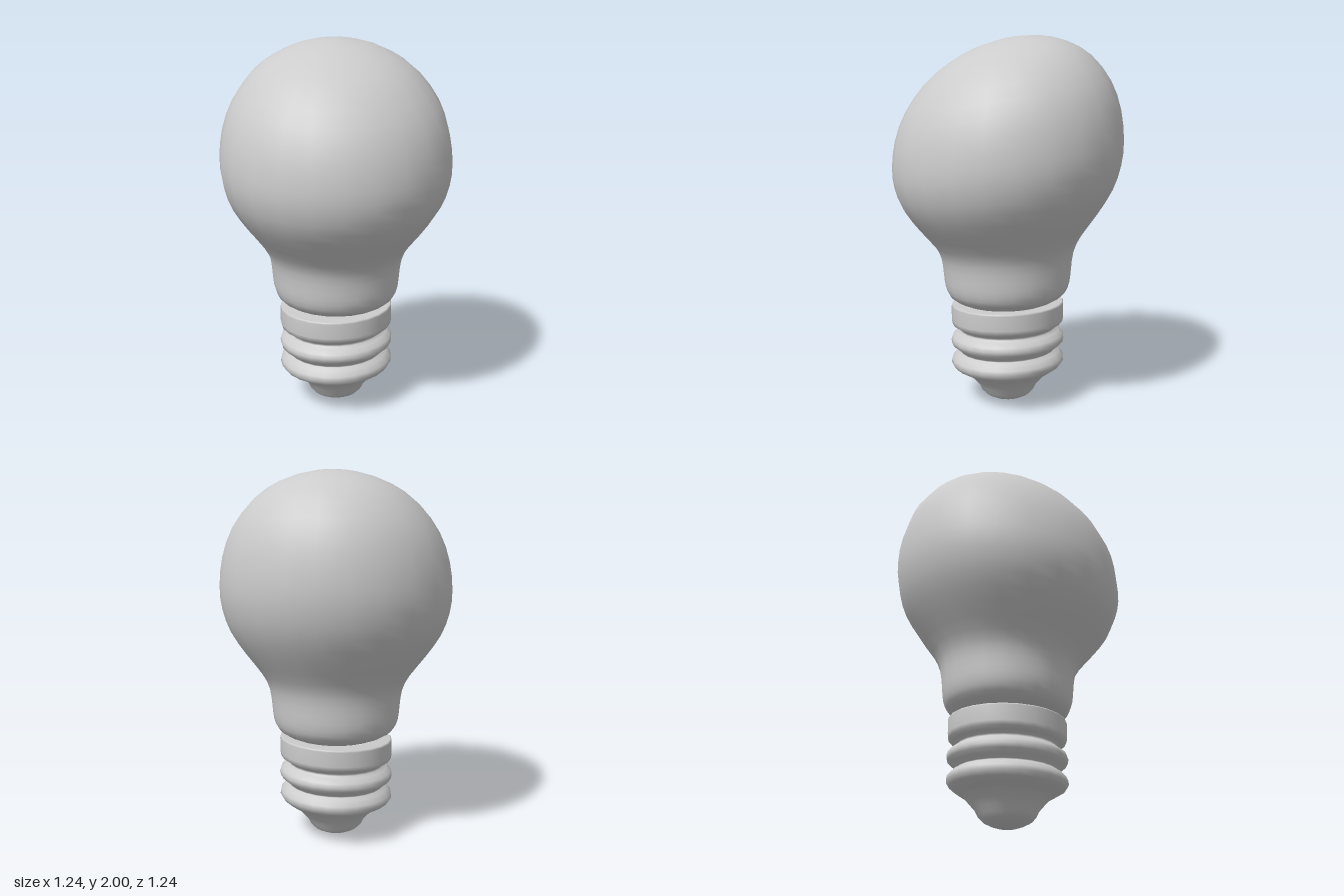
import * as THREE from 'three';
import { mergeVertices } from 'three/addons/utils/BufferGeometryUtils.js';

const SIDES = 24;
const material = new THREE.MeshStandardMaterial({ color: 0xcccccc });

// Lathe a profile of [radius, height] pairs (bottom to top), then slant it by a rule.
function turned(name, profile, slant, samples = 0) {
  let points = profile.map(([r, y]) => new THREE.Vector2(r, y));
  if (samples) points = new THREE.SplineCurve(points).getPoints(samples);
  points.forEach((p) => { p.x = Math.max(p.x, 0); });
  const lathe = new THREE.LatheGeometry(points, SIDES);
  lathe.deleteAttribute('uv');
  lathe.deleteAttribute('normal');
  const geometry = mergeVertices(lathe, 1e-4);
  const pos = geometry.attributes.position;
  for (let i = 0; i < pos.count; i++) {
    const x = pos.getX(i), y = pos.getY(i), z = pos.getZ(i);
    pos.setY(i, y + slant(x, y, z));
  }
  geometry.computeVertexNormals();
  const mesh = new THREE.Mesh(geometry, material);
  mesh.name = name;
  return mesh;
}

export function createModel() {
  const group = new THREE.Group();
  group.name = 'lightBulb';

  // Glass: its rings lean back more and more towards the top
  const glassSlant = (x, y, z) => -z * (0.03 + 0.117 * Math.max(y - 0.57, 0));
  group.add(turned('glassBulb', [
    [0.22, 0.56], [0.275, 0.582], [0.32, 0.615], [0.342, 0.67], [0.35, 0.74],
    [0.362, 0.83], [0.4, 0.91], [0.485, 1.02], [0.565, 1.14], [0.607, 1.26],
    [0.618, 1.38], [0.6, 1.53], [0.545, 1.68], [0.44, 1.82], [0.31, 1.912],
    [0.16, 1.968], [0, 1.987],
  ], glassSlant, 32));

  // Screw base: a collar and two thread ridges, all slightly tilted
  const threadSlant = (x, y, z) => 0.03 * (x - z) * THREE.MathUtils.smoothstep(y, 0.12, 0.22);
  const ridge = (y) => [
    [0.262, y - 0.062], [0.285, y - 0.042], [0.308, y - 0.022], [0.313, y],
    [0.306, y + 0.022], [0.28, y + 0.042], [0.262, y + 0.052],
  ];
  group.add(turned('screwBase', [
    [0.22, 0.155], [0.26, 0.178], [0.295, 0.2], [0.312, 0.225],
    [0.308, 0.25], [0.285, 0.275], [0.262, 0.287],
    ...ridge(0.355),
    [0.262, 0.418], [0.285, 0.433], [0.305, 0.447], [0.31, 0.47], [0.31, 0.55],
    [0.307, 0.557], [0.302, 0.56], [0.22, 0.562],
  ], threadSlant));

  // Contact: cone narrowing to a rounded tip
  group.add(turned('contactTip', [
    [0, 0], [0.05, 0.005], [0.09, 0.018], [0.125, 0.036], [0.148, 0.06],
    [0.162, 0.09], [0.19, 0.122], [0.222, 0.156], [0.262, 0.18],
  ], threadSlant));

  return group;
}
